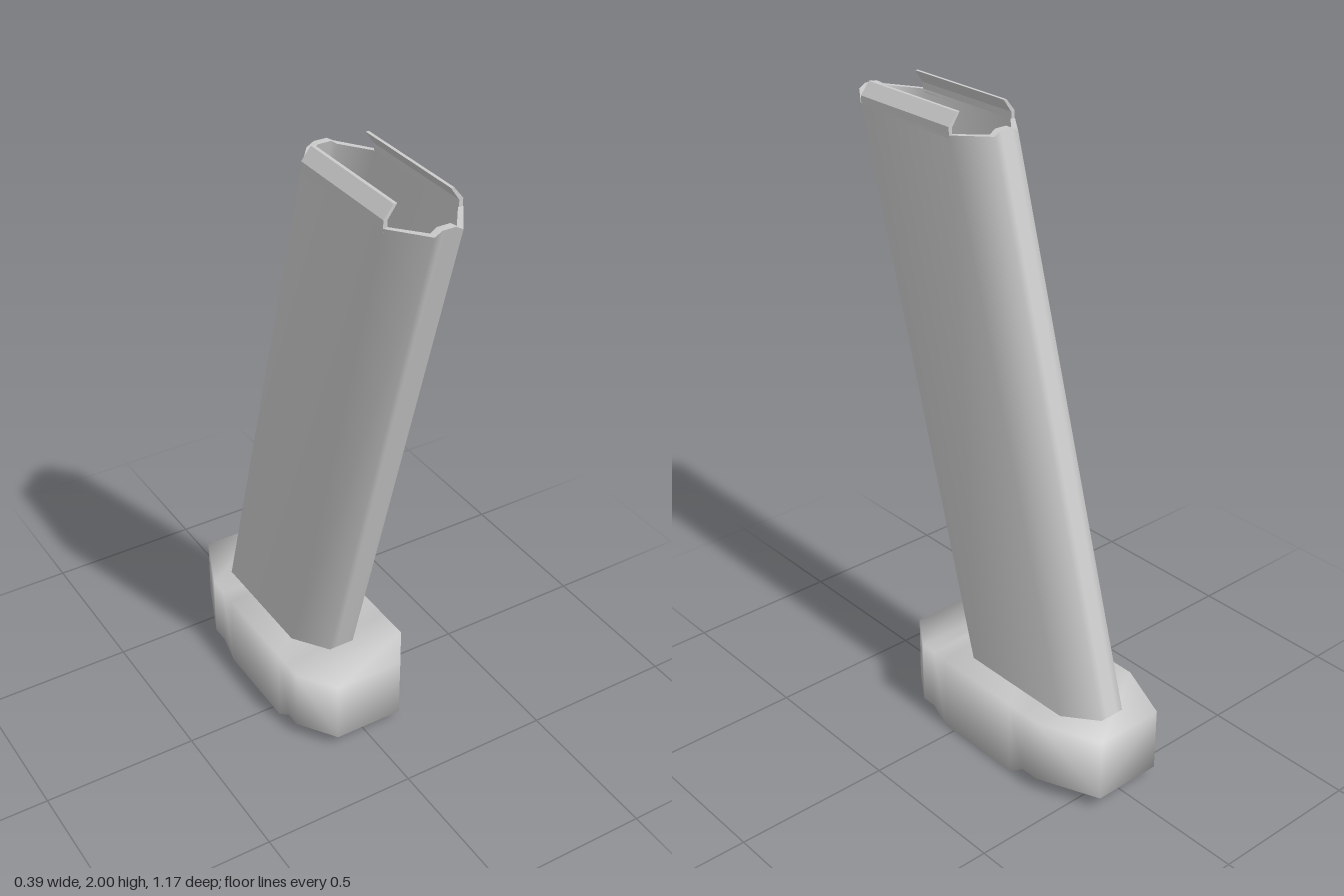
import * as THREE from 'three';

const material = new THREE.MeshStandardMaterial({ color: 0xcccccc });

// Skin closed rings (counterclockwise about the loft direction), optionally capped
function loft(rings, capped = false) {
  const n = rings[0].length;
  const index = [];
  for (let i = 0; i < rings.length - 1; i++) {
    for (let j = 0; j < n; j++) {
      const k = (j + 1) % n;
      const a = i * n + j, b = i * n + k, c = b + n, d = a + n;
      index.push(a, b, c, a, c, d);
    }
  }
  if (capped) {
    const outline = rings[0].map(([x, y]) => new THREE.Vector2(x, y));
    const last = (rings.length - 1) * n;
    for (const [a, b, c] of THREE.ShapeUtils.triangulateShape(outline, [])) {
      index.push(a, c, b, last + a, last + b, last + c);
    }
  }
  const geometry = new THREE.BufferGeometry();
  geometry.setAttribute('position', new THREE.Float32BufferAttribute(rings.flat(2), 3));
  geometry.setIndex(index);
  geometry.computeVertexNormals();
  return geometry;
}

function addPart(parent, name, geometry) {
  const mesh = new THREE.Mesh(geometry, material);
  mesh.name = name;
  parent.add(mesh);
}

// Horizontal section of the slanted tube; the rim carries a small raised tab front and back
const TOP = 1.94, LEAN = 0.287;
function tubeRing(y, inset, rim = false) {
  const front = 0.585 - inset * 2, back = -0.025 + inset * 2;
  const side = 0.12 - inset, edge = 0.043 - inset * 0.3;
  const half = [
    [0.02, front, 0.017], [edge, front, 0.004], [side, 0.475 - inset * 0.5, 0],
    [side, 0.075 + inset * 0.5, 0], [edge, back, 0.004], [0.02, back, 0.017],
  ];
  const other = half.map(([x, z, lift]) => [-x, z, lift]).reverse();
  return [...half, ...other].map(([x, z, lift]) =>
    [x, y + (rim ? lift : 0), z + LEAN * (y - TOP)]);
}

export function createModel() {
  const model = new THREE.Group();

  // Base block with tapered ends and a shallow foot: z, half width, underside height
  const sections = [
    [-0.585, 0.115, 0.045], [-0.39, 0.197, 0.045], [-0.33, 0.197, 0.045], [-0.27, 0.197, 0],
    [0.04, 0.197, 0], [0.1, 0.197, 0.045], [0.15, 0.197, 0.045], [0.27, 0.115, 0.045],
  ];
  addPart(model, 'base', loft(sections.map(([z, w, low]) =>
    [[w, low, z], [w, 0.253, z], [-w, 0.253, z], [-w, low, z]]), true));

  // Hollow slanted tube: outer wall, rim and inner wall
  const tube = new THREE.Group();
  tube.name = 'tube';
  model.add(tube);
  const wall = 0.012;
  addPart(tube, 'outerWall', loft([tubeRing(0.2, 0), tubeRing(TOP, 0, true)]));
  addPart(tube, 'rim', loft([tubeRing(TOP, 0, true), tubeRing(TOP, wall, true)]));
  addPart(tube, 'innerWall', loft([tubeRing(TOP, wall, true), tubeRing(0.2, wall)]));

  // Inward-bent lips along both sides of the opening
  const profile = [
    [0.108, 1.93], [0.12, 1.93], [0.12, 1.963], [0.09, 2], [0.08, 2], [0.108, 1.96],
  ];
  for (const s of [1, -1]) {
    const outline = profile.map(([x, y]) => [s * x, y]);
    if (s < 0) outline.reverse();
    const rings = [0.077, 0.473].map((z) => outline.map(([x, y]) => [x, y, z]));
    const geometry = loft(rings, true).toNonIndexed();
    geometry.computeVertexNormals();
    addPart(model, s > 0 ? 'leftLip' : 'rightLip', geometry);
  }

  return model;
}
